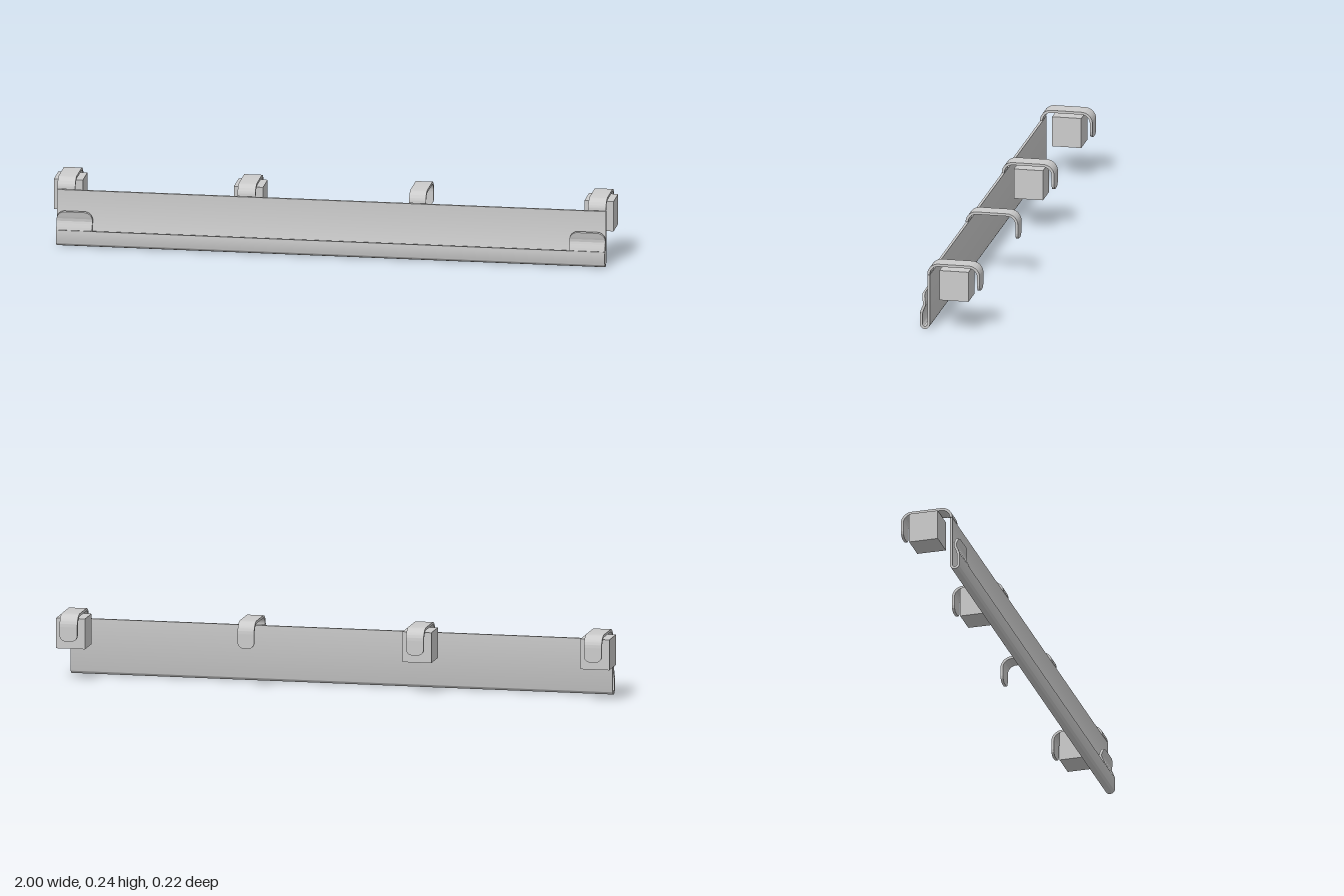
import * as THREE from 'three';
import { toCreasedNormals } from 'three/addons/utils/BufferGeometryUtils.js';

const material = new THREE.MeshStandardMaterial({ color: 0xcccccc });
const T = 0.0092; // sheet thickness

// Bent sheet strip: follows a (z, y) path, spans x0..x1, end corners rounded by r
function strip(name, path, x0, x1, r = 0) {
  let pts = path.getPoints(16).filter((p, i, a) => i === 0 || p.distanceTo(a[i - 1]) > 1e-5);
  if (r > 0) {
    // finer steps toward the rounded end
    const fine = [pts[0]];
    for (let i = 1; i < pts.length; i++) {
      const n = i === pts.length - 1 ? 24 : 1;
      for (let k = 1; k <= n; k++) {
        fine.push(pts[i - 1].clone().lerp(pts[i], 1 - (1 - k / n) ** 2));
      }
    }
    pts = fine;
  }
  const last = pts.length - 1;
  const toEnd = new Array(pts.length).fill(0);
  for (let i = last - 1; i >= 0; i--) toEnd[i] = toEnd[i + 1] + pts[i].distanceTo(pts[i + 1]);

  const pos = [], idx = [];
  pts.forEach((p, i) => {
    const before = p.clone().sub(pts[Math.max(i - 1, 0)]).normalize();
    const after = pts[Math.min(i + 1, last)].clone().sub(p).normalize();
    const t = before.add(after).normalize();
    const ny = t.x * T / 2, nz = -t.y * T / 2;
    const d = Math.min(toEnd[i], r);
    const inset = r - Math.sqrt(Math.max(0, r * r - (r - d) ** 2));
    const a = x0 + inset, b = x1 - inset;
    pos.push(a, p.y - ny, p.x - nz, b, p.y - ny, p.x - nz,
      b, p.y + ny, p.x + nz, a, p.y + ny, p.x + nz);
    if (i === last) return;
    for (let k = 0; k < 4; k++) {
      const u = i * 4 + k, v = i * 4 + (k + 1) % 4;
      idx.push(u, v, v + 4, u, v + 4, u + 4);
    }
  });
  const e = last * 4;
  idx.push(0, 3, 2, 0, 2, 1, e, e + 1, e + 2, e, e + 2, e + 3);

  const g = new THREE.BufferGeometry();
  g.setAttribute('position', new THREE.Float32BufferAttribute(pos, 3));
  g.setIndex(idx);
  const mesh = new THREE.Mesh(toCreasedNormals(g, 0.6), material);
  mesh.name = name;
  return mesh;
}

export function createModel() {
  const model = new THREE.Group();
  model.name = 'hangingRail';
  const left = 0.977, right = -0.984;

  // Long back plate folded under into a low front lip
  const plate = new THREE.Path();
  plate.moveTo(0.0775, 0.2).lineTo(0.0775, 0.018);
  plate.absarc(0.091, 0.018, 0.0135, Math.PI, 2 * Math.PI, false);
  plate.lineTo(0.1045, 0.05).lineTo(0.104, 0.058);
  model.add(strip('backPlateAndLip', plate, right, left));

  // Spring tabs rising from the lip at both ends
  const tab = new THREE.Path();
  tab.moveTo(0.104, 0.058);
  tab.splineThru([[0.099, 0.073], [0.0935, 0.086], [0.0925, 0.096], [0.0955, 0.108], [0.0995, 0.126]]
    .map(([z, y]) => new THREE.Vector2(z, y)));
  model.add(strip('rightSpringTab', tab, right, -0.856, 0.03));
  model.add(strip('leftSpringTab', tab, 0.849, left, 0.03));

  // Hooks bent over the top edge toward the back
  const hook = new THREE.Path();
  hook.moveTo(0.0775, 0.2);
  hook.absarc(0.042, 0.202, 0.0355, 0, Math.PI / 2, false);
  hook.lineTo(-0.067, 0.2375);
  hook.absarc(-0.067, 0.202, 0.0355, Math.PI / 2, Math.PI, false);
  hook.lineTo(-0.1025, 0.148);

  // Support blocks sit inside all hooks but one
  const block = new THREE.BoxGeometry(0.104, 0.109, 0.105);
  for (const [x, width, hasBlock] of [
    [-0.952, 0.064, true], [-0.308, 0.064, true], [0.303, 0.06, false], [0.945, 0.064, true],
  ]) {
    model.add(strip('hook', hook, x - width / 2, x + width / 2, 0.022));
    if (!hasBlock) continue;
    const mesh = new THREE.Mesh(block, material);
    mesh.name = 'supportBlock';
    mesh.position.set(x, 0.1705, -0.0185);
    model.add(mesh);
  }
  return model;
}
